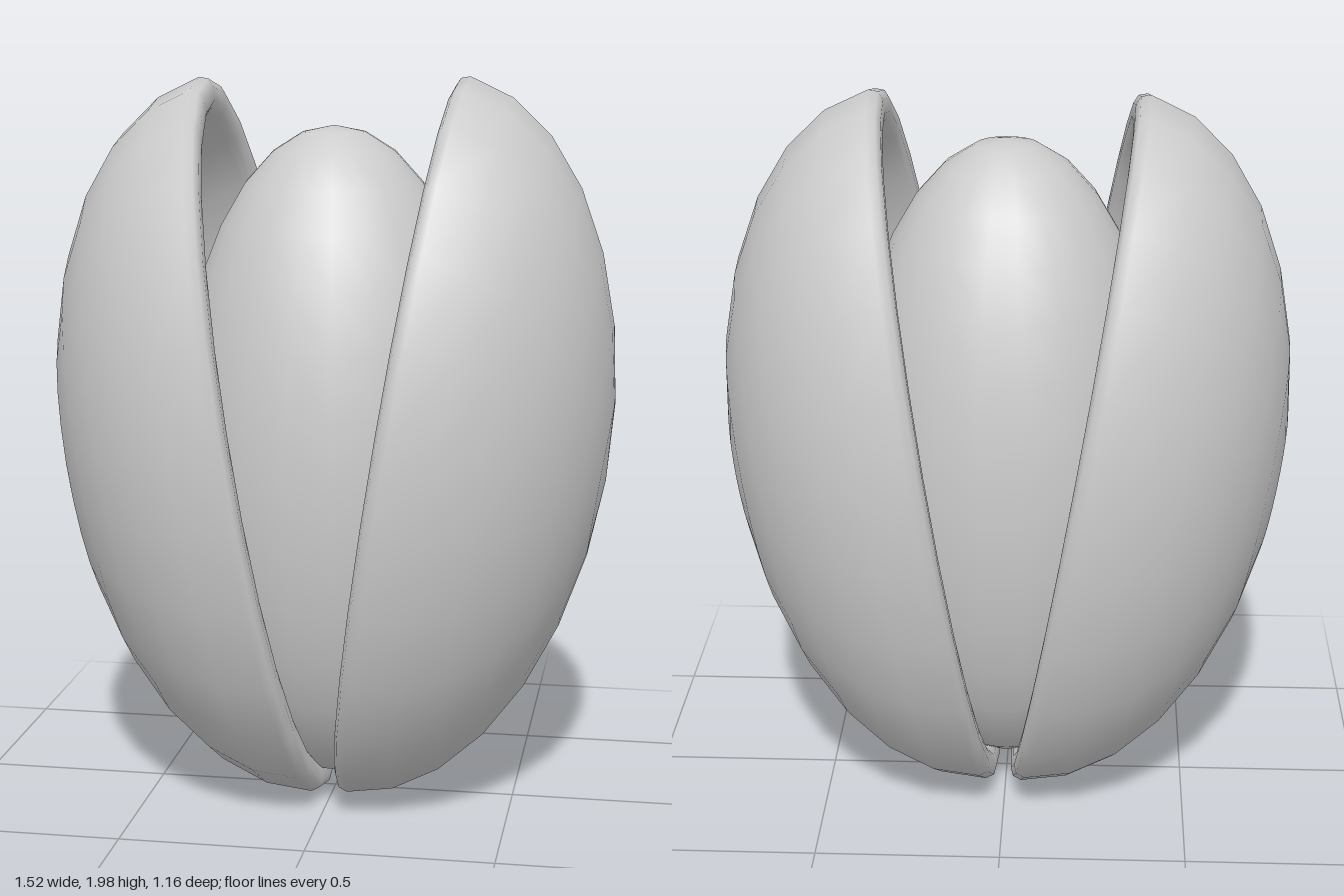
import * as THREE from 'three';
import { mergeVertices } from 'three/addons/utils/BufferGeometryUtils.js';

const RADIUS = 0.583;      // shell half-width
const INNER = 0.49;        // cavity half-width
const STRETCH = 0.42;      // extra half-length along the nut
const DEPTH = 0.985;       // slight flattening of each half

// Half shell: a cup with a rounded rim, lathed round then drawn out along local x
function shellGeometry() {
  const profile = [];
  const arc = (r, from, to, steps) => {
    for (let i = 0; i <= steps; i++) {
      const a = from + (to - from) * i / steps;
      profile.push(new THREE.Vector2(Math.max(0, r * Math.cos(a)), r * Math.sin(a)));
    }
  };
  arc(INNER, Math.PI / 2, 0.08, 7);
  profile[0].x = 0;
  for (const [r, y] of [[0.495, 0.017], [0.515, 0.002], [0.55, 0], [0.573, 0.01]]) {
    profile.push(new THREE.Vector2(r, y));
  }
  arc(RADIUS, 0.06, Math.PI / 2, 7);
  profile[profile.length - 1].x = 0;

  let geo = new THREE.LatheGeometry(profile, 26, Math.PI / 2);
  const pos = geo.attributes.position;
  const v = new THREE.Vector3();
  for (let i = 0; i < pos.count; i++) {
    v.fromBufferAttribute(pos, i);
    // Constant offset along the long axis keeps the wall thickness even
    pos.setXYZ(i, v.x + STRETCH * v.x / v.length(), v.y * DEPTH, v.z);
  }
  geo.deleteAttribute('normal');
  geo.deleteAttribute('uv');
  geo = mergeVertices(geo, 1e-4);
  geo.computeVertexNormals();
  return geo;
}

export function createModel() {
  const group = new THREE.Group();
  const grey = new THREE.MeshStandardMaterial({ color: 0xcccccc });
  grey.name = 'light grey';

  // Two half shells leaning apart from the base
  const geo = shellGeometry();
  const halves = [
    { name: 'rightShell', side: -1, tilt: 0.166, x: 0.172, y: 0.995 },
    { name: 'leftShell', side: 1, tilt: 0.155, x: 0.17, y: 1.0 },
  ];
  for (const { name, side, tilt, x, y } of halves) {
    const shell = new THREE.Mesh(geo, grey);
    shell.name = name;
    shell.rotation.z = -side * (Math.PI / 2 + tilt);
    shell.position.set(side * x, y, 0);
    group.add(shell);
  }

  // Kernel held between the shells
  const kernel = new THREE.Mesh(new THREE.SphereGeometry(1, 22, 16), grey);
  kernel.name = 'kernel';
  kernel.scale.set(0.43, 0.893, 0.425);
  kernel.position.set(0, 0.962, 0.022);
  group.add(kernel);

  return group;
}
